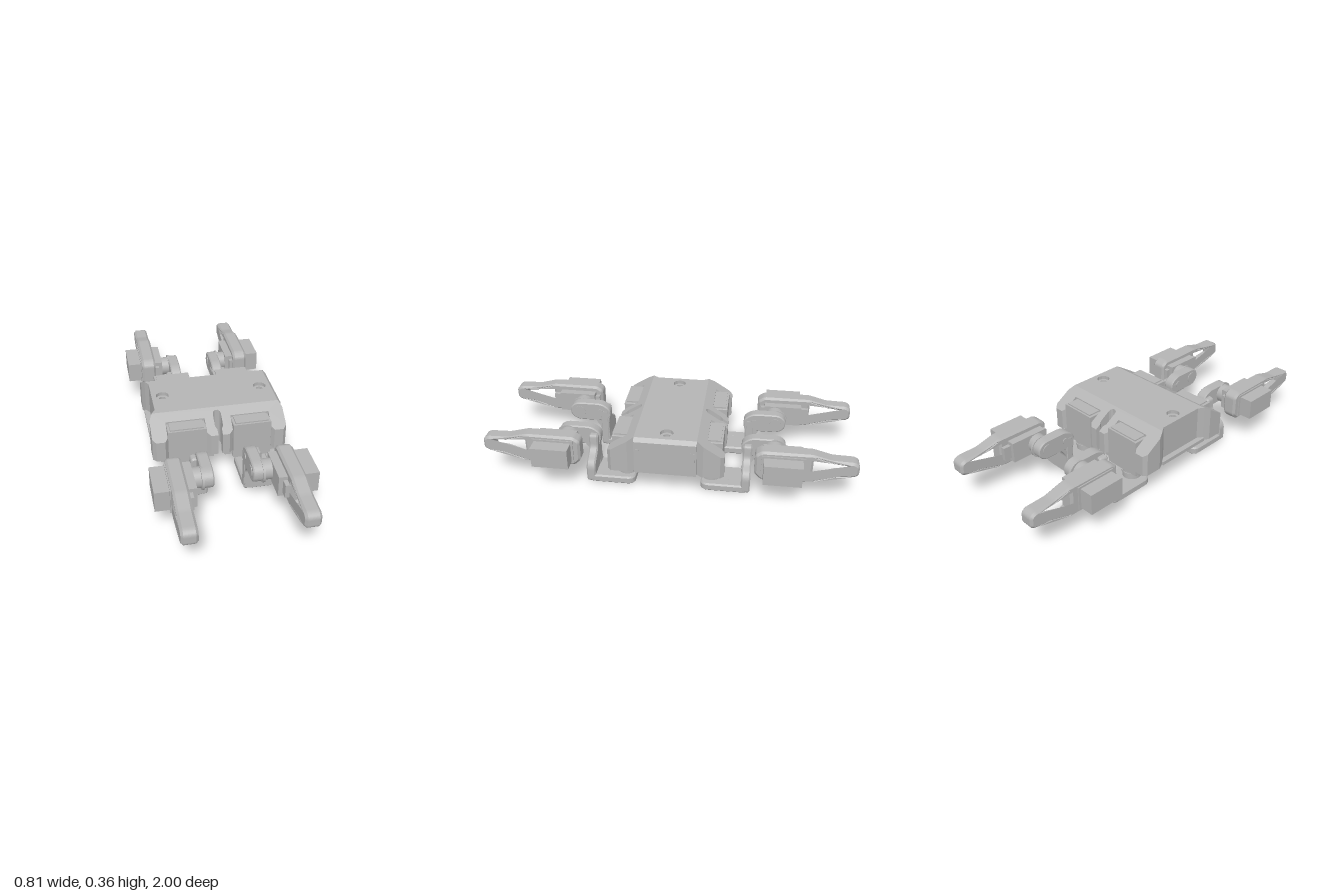
import * as THREE from 'three';

const shellGrey = new THREE.MeshStandardMaterial({ color: 0xb4b4b4 });
shellGrey.name = 'shellGrey';

function mesh(name, geometry) {
  const m = new THREE.Mesh(geometry, shellGrey);
  m.name = name;
  return m;
}

// Closed polygon with rounded corners
function polygon(points, radius = 0, holes = []) {
  const shape = new THREE.Shape();
  const n = points.length;
  points.forEach((p, i) => {
    const c = new THREE.Vector2(...p);
    const toward = (q) => {
      const d = new THREE.Vector2(...q).sub(c);
      return c.clone().add(d.setLength(Math.min(radius, d.length() * 0.45)));
    };
    const a = toward(points[(i + n - 1) % n]);
    const b = toward(points[(i + 1) % n]);
    if (i === 0) shape.moveTo(a.x, a.y); else shape.lineTo(a.x, a.y);
    if (radius > 0) shape.quadraticCurveTo(c.x, c.y, b.x, b.y);
  });
  shape.closePath();
  shape.holes.push(...holes);
  return shape;
}

function hole(x, y, r) {
  const p = new THREE.Path();
  p.absarc(x, y, r, 0, Math.PI * 2, true);
  return p;
}

function extrude(shape, length, bevel = 0) {
  const g = new THREE.ExtrudeGeometry(shape, {
    depth: length - 2 * bevel, curveSegments: 6, bevelEnabled: bevel > 0,
    bevelThickness: bevel, bevelSize: bevel, bevelOffset: -bevel, bevelSegments: 1,
  });
  return g.translate(0, 0, bevel);
}

// Extrude upward from an (x, z) outline, sideways from a (z, y) outline, forward from an (x, y) outline
const plan = (pts, y0, y1, r = 0, holes = [], bevel = 0) =>
  extrude(polygon(pts.map(([x, z]) => [x, -z]), r, holes), y1 - y0, bevel).rotateX(-Math.PI / 2).translate(0, y0, 0);
const side = (pts, x0, x1, r = 0, holes = [], bevel = 0) =>
  extrude(polygon(pts, r, holes), x1 - x0, bevel).rotateY(-Math.PI / 2).translate(x1, 0, 0);
const front = (pts, z0, z1, r = 0, bevel = 0) =>
  extrude(polygon(pts, r), z1 - z0, bevel).translate(0, 0, z0);

const box = (x0, x1, y0, y1, z0, z1) =>
  new THREE.BoxGeometry(x1 - x0, y1 - y0, z1 - z0).translate((x0 + x1) / 2, (y0 + y1) / 2, (z0 + z1) / 2);
const cylX = (x0, x1, y, z, r) =>
  new THREE.CylinderGeometry(r, r, x1 - x0, 28).rotateZ(Math.PI / 2).translate((x0 + x1) / 2, y, z);
const cylY = (y0, y1, x, z, r) =>
  new THREE.CylinderGeometry(r, r, y1 - y0, 28).translate(x, (y0 + y1) / 2, z);

// Mirror a geometry, keeping its faces outward
function mirrored(geometry, sx, sz) {
  const g = geometry.index ? geometry.toNonIndexed() : geometry.clone();
  g.scale(sx, 1, sz);
  if (sx * sz < 0) {
    for (const key of Object.keys(g.attributes)) {
      const { array, itemSize: s } = g.attributes[key];
      for (let t = 0; t < array.length; t += 3 * s) {
        for (let k = 0; k < s; k++) {
          [array[t + s + k], array[t + 2 * s + k]] = [array[t + 2 * s + k], array[t + s + k]];
        }
      }
    }
  }
  return g;
}

function bodyShell() {
  const body = new THREE.Group();
  body.name = 'body';
  const deck = [[0.364, 0.165], [0.364, -0.165], [-0.345, -0.165], [-0.325, -0.135], [-0.325, 0.135], [-0.345, 0.165]];
  const holes = (r) => [hole(-0.265, 0, r), hole(0.285, 0, r)];
  body.add(mesh('lowerDeck', plan(deck, 0.15, 0.31)));
  body.add(mesh('middleDeck', plan(deck, 0.31, 0.34, 0, holes(0.02))));
  const top = plan(deck, 0.34, 0.36, 0, holes(0.036));
  const tp = top.attributes.position;
  for (let i = 0; i < tp.count; i++) if (tp.getY(i) > 0.35 && tp.getX(i) > 0.36) tp.setX(i, 0.345);
  top.computeVertexNormals();
  body.add(mesh('topDeck', top));
  body.add(mesh('sideFlange', box(-0.355, -0.32, 0.15, 0.17, -0.165, 0.165)));

  // Sloping ends with a central slot, lugs and corner blocks
  const half = [[0.008, 0.181], [0.018, 0.189], [0.022, 0.2], [0.022, 0.26], [0.012, 0.275], [0.012, 0.305],
    [0.05, 0.305], [0.07, 0.285], [0.07, 0.215], [0.28, 0.215], [0.28, 0.29], [0.295, 0.31],
    [0.343, 0.31], [0.362, 0.29], [0.362, 0.2], [0.345, 0.165]];
  const outline = [...half, ...half.map(([x, z]) => [-x, z]).reverse()];
  const end = plan(outline, 0.15, 0.36);
  const ep = end.attributes.position;
  for (let i = 0; i < ep.count; i++) if (ep.getY(i) > 0.3) ep.setY(i, 0.36 - (ep.getZ(i) - 0.165) * 0.634);
  end.computeVertexNormals();
  body.add(mesh('frontEnd', end));
  body.add(mesh('backEnd', end.clone().rotateY(Math.PI)));

  // Narrow side grooves drawn as thin plates
  for (const z of [0.145, -0.145]) {
    body.add(mesh('sideSlot', box(0.362, 0.367, 0.23, 0.295, z - 0.01, z + 0.01)));
    body.add(mesh('bottomScrew', cylY(0.146, 0.151, 0, z, 0.012)));
    for (const x of [-0.2, 0.2]) body.add(mesh('bottomScrew', cylY(0.146, 0.151, x, z * 0.6, 0.01)));
  }
  return body;
}

// Parts of one leg, in the +x +z corner
function legParts() {
  const legOutline = [[0.465, 0.285], [0.5, 0.31], [0.76, 0.31], [0.86, 0.283], [0.975, 0.28], [1.0, 0.262],
    [1.0, 0.205], [0.975, 0.19], [0.9, 0.183], [0.76, 0.14], [0.5, 0.135], [0.465, 0.17]];
  const window = new THREE.Path([[0.945, 0.205], [0.945, 0.256], [0.87, 0.262], [0.78, 0.288], [0.765, 0.28],
    [0.765, 0.17], [0.78, 0.163], [0.88, 0.198]].map((p) => new THREE.Vector2(...p)));
  const rect = (x0, x1, z0, z1) => [[x0, z0], [x1, z0], [x1, z1], [x0, z1]];
  return {
    hipMotor: front([[0.072, 0.105], [0.278, 0.105], [0.278, 0.315], [0.072, 0.315]], 0.15, 0.295, 0.004),
    hipMotorLid: box(0.085, 0.265, 0.31, 0.322, 0.2, 0.285),
    hipTab: box(0.03, 0.32, 0.12, 0.155, 0.18, 0.28),
    hipHorn: cylY(0.04, 0.13, 0.19, 0.235, 0.052),
    hipCollar: cylY(0.075, 0.085, 0.19, 0.235, 0.056),
    bracketFoot: plan(rect(0.097, 0.28, 0.18, 0.45), 0.002, 0.047, 0.045, [hole(0.225, -0.33, 0.012)], 0.008),
    bracketPad: plan(rect(0.115, 0.262, 0.195, 0.3), 0, 0.004, 0.03),
    bracketScrewA: cylY(0, 0.006, 0.14, 0.34, 0.013),
    bracketScrewB: cylY(0, 0.006, 0.14, 0.41, 0.013),
    // Upright that narrows from the foot into the ear
    bracketNeck: front([[0.097, 0.004], [0.28, 0.004], [0.28, 0.095], [0.262, 0.125], [0.215, 0.15], [0.19, 0.175],
      [0.185, 0.245], [0.097, 0.245]], 0.4, 0.45, 0.018, 0.008),
    bracketGusset: side([[0.395, 0.03], [0.45, 0.03], [0.45, 0.13], [0.48, 0.172], [0.44, 0.24], [0.39, 0.22],
      [0.405, 0.13]], 0.1, 0.155, 0.015),
    bracketEar: side([[0.39, 0.19], [0.42, 0.168], [0.59, 0.168], [0.627, 0.2], [0.627, 0.25], [0.59, 0.28],
      [0.44, 0.28], [0.39, 0.245]], 0.098, 0.157, 0.03, [], 0.006),
    earCapLarge: cylX(0.094, 0.1, 0.225, 0.57, 0.032),
    earCapSmall: cylX(0.094, 0.1, 0.225, 0.45, 0.018),
    kneeShaft: cylX(0.15, 0.21, 0.222, 0.565, 0.054),
    kneeCollar: cylX(0.148, 0.16, 0.222, 0.575, 0.06),
    kneePlate: box(0.2, 0.25, 0.165, 0.28, 0.505, 0.715),
    kneeTab: box(0.222, 0.25, 0.185, 0.26, 0.48, 0.757),
    lowerLeg: side(legOutline, 0.244, 0.326, 0.015, [window], 0.012),
    kneeMotorRim: box(0.32, 0.332, 0.155, 0.29, 0.5, 0.725),
    kneeMotor: box(0.32, 0.407, 0.165, 0.279, 0.512, 0.712),
  };
}

export function createModel() {
  const model = new THREE.Group();
  model.name = 'fourLeggedRobot';
  model.add(bodyShell());
  const parts = legParts();
  for (const sz of [1, -1]) {
    for (const sx of [1, -1]) {
      const leg = new THREE.Group();
      leg.name = `${sz > 0 ? 'front' : 'back'}${sx > 0 ? 'Left' : 'Right'}Leg`;
      for (const [name, geometry] of Object.entries(parts)) leg.add(mesh(name, mirrored(geometry, sx, sz)));
      model.add(leg);
    }
  }
  return model;
}
